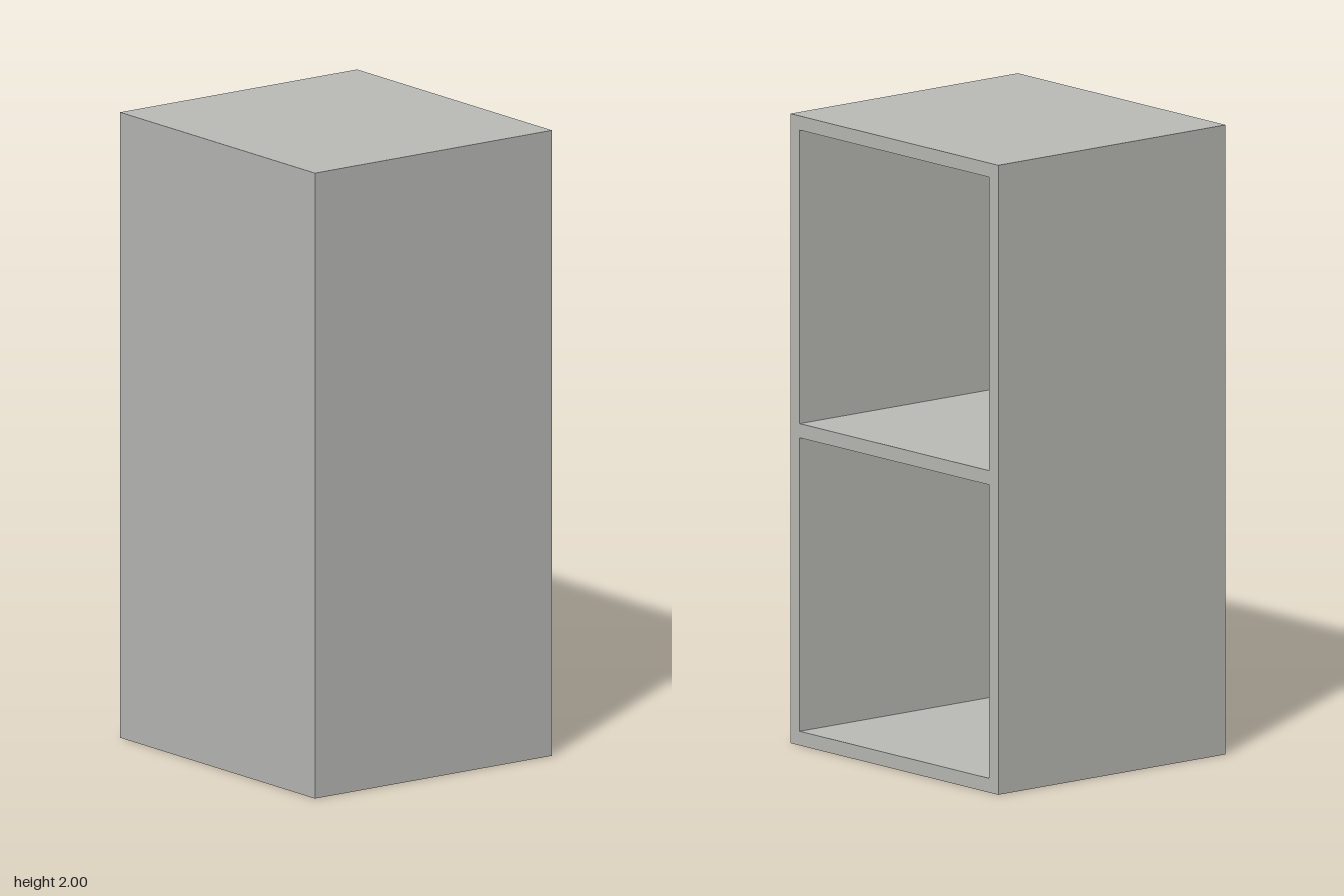
import * as THREE from 'three';

const W = 1, H = 2, D = 0.925;   // overall size
const T = 0.045;                 // board thickness
const PANEL = 0.01;              // thin closing panel at the front
const openW = W - 2 * T;
const openH = (H - 3 * T) / 2;

function rectangle(path, x, y, w, h) {
  path.moveTo(x, y);
  path.lineTo(x + w, y);
  path.lineTo(x + w, y + h);
  path.lineTo(x, y + h);
  path.closePath();
  return path;
}

export function createModel() {
  const model = new THREE.Group();
  model.name = 'cabinet';
  const grey = new THREE.MeshStandardMaterial({ color: 0xbcbcb9 });
  grey.name = 'warm grey';

  // Carcass: sides, top, bottom and middle shelf around two compartments
  const outline = rectangle(new THREE.Shape(), -W / 2, 0, W, H);
  for (let i = 0; i < 2; i++) {
    const y = T + i * (openH + T);
    outline.holes.push(rectangle(new THREE.Path(), -openW / 2, y, openW, openH));

    // Thin panel closing each compartment, flush with the front
    const panel = new THREE.Mesh(new THREE.BoxGeometry(openW, openH, PANEL), grey);
    panel.name = i === 0 ? 'lowerFrontPanel' : 'upperFrontPanel';
    panel.position.set(0, y + openH / 2, D / 2 - PANEL / 2);
    model.add(panel);
  }
  const carcassGeometry = new THREE.ExtrudeGeometry(outline, { depth: D, bevelEnabled: false });
  carcassGeometry.translate(0, 0, -D / 2);
  const carcass = new THREE.Mesh(carcassGeometry, grey);
  carcass.name = 'carcass';
  model.add(carcass);

  return model;
}
